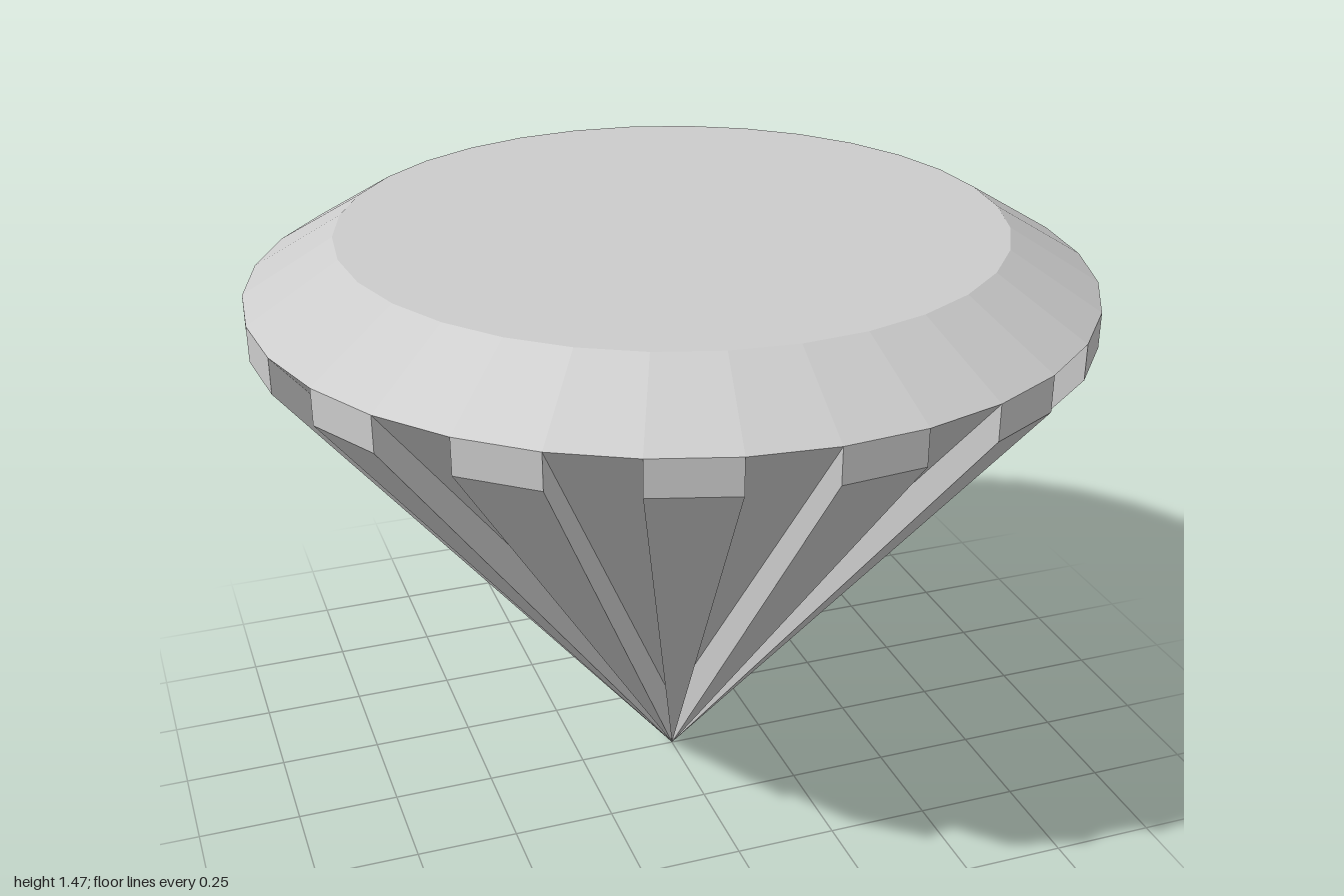
import * as THREE from 'three';

const SIDES = 32;
const GIRDLE = 1.335; // height of the widest edge
const RIB_DROP = 0.085; // height of each rib's outer face
const TABLE = 1.465; // height of the flat top
const TABLE_RADIUS = 0.785;
const INNER_TIP = 0.14; // where the recessed facets meet

const rim = (i, y) => {
  const a = (i / SIDES) * Math.PI * 2;
  return [Math.sin(a), y, Math.cos(a)];
};

// Flat polygons, each given counter-clockwise from outside
function facets(polygons) {
  const positions = [];
  for (const p of polygons) {
    for (let i = 1; i < p.length - 1; i++) positions.push(...p[0], ...p[i], ...p[i + 1]);
  }
  const geometry = new THREE.BufferGeometry();
  geometry.setAttribute('position', new THREE.Float32BufferAttribute(positions, 3));
  geometry.computeVertexNormals();
  return geometry;
}

export function createModel() {
  const group = new THREE.Group();
  group.name = 'gem';
  const material = new THREE.MeshStandardMaterial({ color: 0xcccccc, flatShading: true });
  const add = (name, geometry) => {
    const mesh = new THREE.Mesh(geometry, material);
    mesh.name = name;
    group.add(mesh);
    return mesh;
  };

  // Bevelled crown with the flat table on top
  const height = TABLE - GIRDLE;
  add('crown', new THREE.CylinderGeometry(TABLE_RADIUS, 1, height, SIDES))
    .position.y = GIRDLE + height / 2;

  // Pointed underside: raised ribs alternate with recessed facets
  const tip = [0, 0, 0];
  const innerTip = [0, INNER_TIP, 0];
  const ribs = [];
  const recesses = [];
  for (let i = 0; i < SIDES; i += 2) {
    const topA = rim(i, GIRDLE), topB = rim(i + 1, GIRDLE);
    const lowA = rim(i, GIRDLE - RIB_DROP), lowB = rim(i + 1, GIRDLE - RIB_DROP);
    ribs.push(
      [topA, lowA, lowB, topB], // outer face
      [lowA, tip, lowB], // sloping face
      [topA, innerTip, tip, lowA], // side walls
      [topB, lowB, tip, innerTip],
    );
    recesses.push([topB, innerTip, rim(i + 2, GIRDLE)]);
  }
  add('pavilionRibs', facets(ribs));
  add('pavilionRecesses', facets(recesses));

  return group;
}
